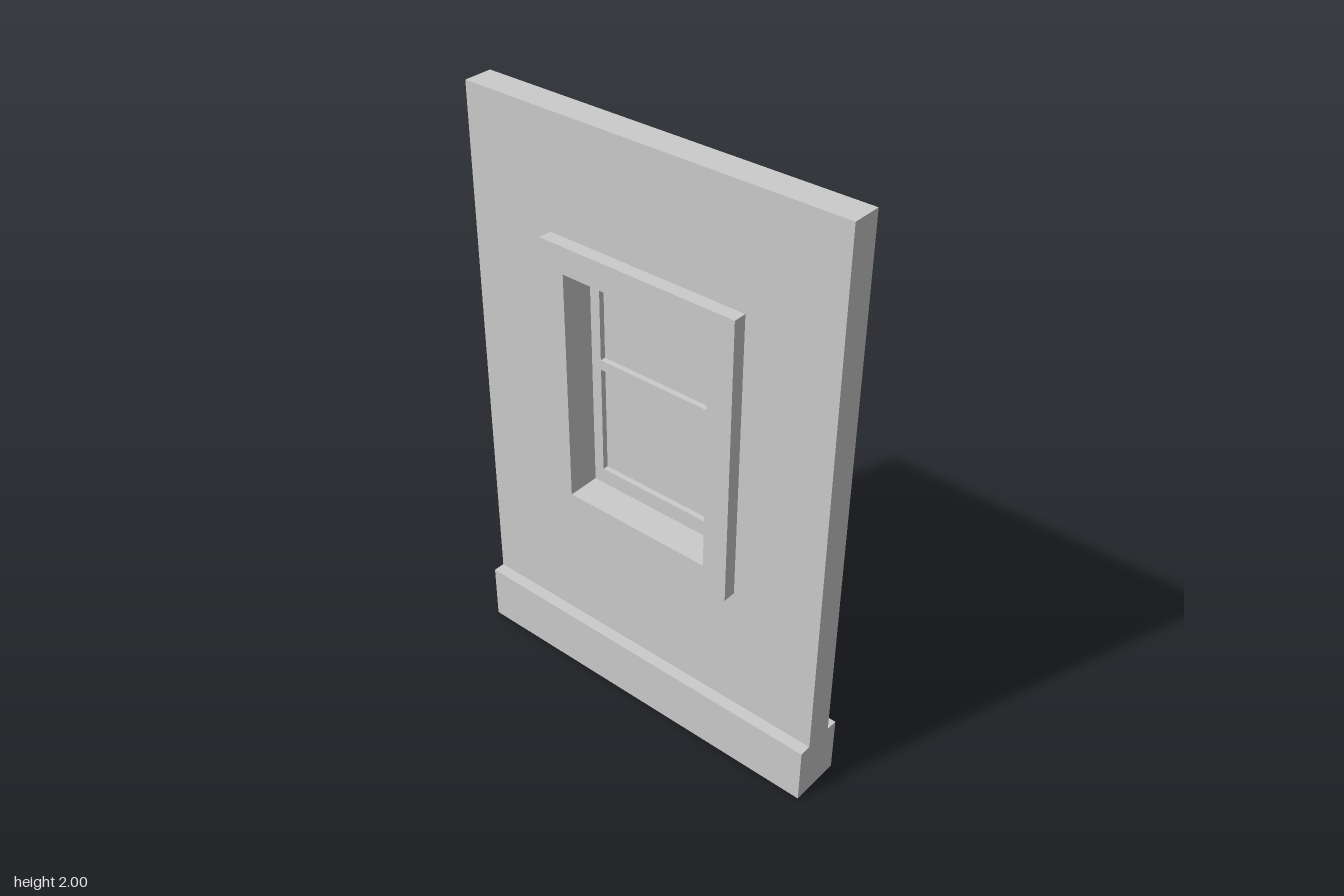
import * as THREE from 'three';

const material = new THREE.MeshStandardMaterial({ color: 0xcccccc, flatShading: true });

// Rectangles are [x0, y0, x1, y1]
const OUTER = [-0.353, 0.65, 0.353, 1.625];
const OPENING = [-0.267, 0.74, 0.267, 1.535];
const PANES = [[-0.231, 0.795, 0.231, 1.17], [-0.231, 1.205, 0.231, 1.48]];

function trace(path, [x0, y0, x1, y1]) {
  path.moveTo(x0, y0);
  path.lineTo(x1, y0);
  path.lineTo(x1, y1);
  path.lineTo(x0, y1);
  path.closePath();
  return path;
}

// Rectangular slab with rectangular holes, running from zBack to zFront
function slab(name, rect, holes, zBack, zFront) {
  const shape = trace(new THREE.Shape(), rect);
  for (const hole of holes) shape.holes.push(trace(new THREE.Path(), hole));
  const geometry = new THREE.ExtrudeGeometry(shape, { depth: zFront - zBack, bevelEnabled: false });
  geometry.translate(0, 0, zBack);
  const mesh = new THREE.Mesh(geometry, material);
  mesh.name = name;
  return mesh;
}

export function createModel() {
  const model = new THREE.Group();
  model.name = 'windowWall';

  // Wall panel with the window opening, on a thicker skirting
  model.add(slab('wall', [-0.665, 0.2, 0.665, 2], [OPENING], -0.049, 0.049));
  model.add(slab('skirting', [-0.665, 0, 0.665, 0.2], [], -0.09, 0.09));

  // Raised casing on both faces of the wall
  model.add(slab('frontCasing', OUTER, [OPENING], 0.049, 0.094));
  model.add(slab('backCasing', OUTER, [OPENING], -0.094, -0.049));

  // Sash set towards the back, with two solid panes
  const sash = new THREE.Group();
  sash.name = 'window';
  sash.add(slab('sash', OPENING, PANES, -0.073, -0.018));
  PANES.forEach((pane, i) => {
    sash.add(slab(i ? 'upperPane' : 'lowerPane', pane, [], -0.055, -0.037));
  });
  model.add(sash);

  return model;
}
